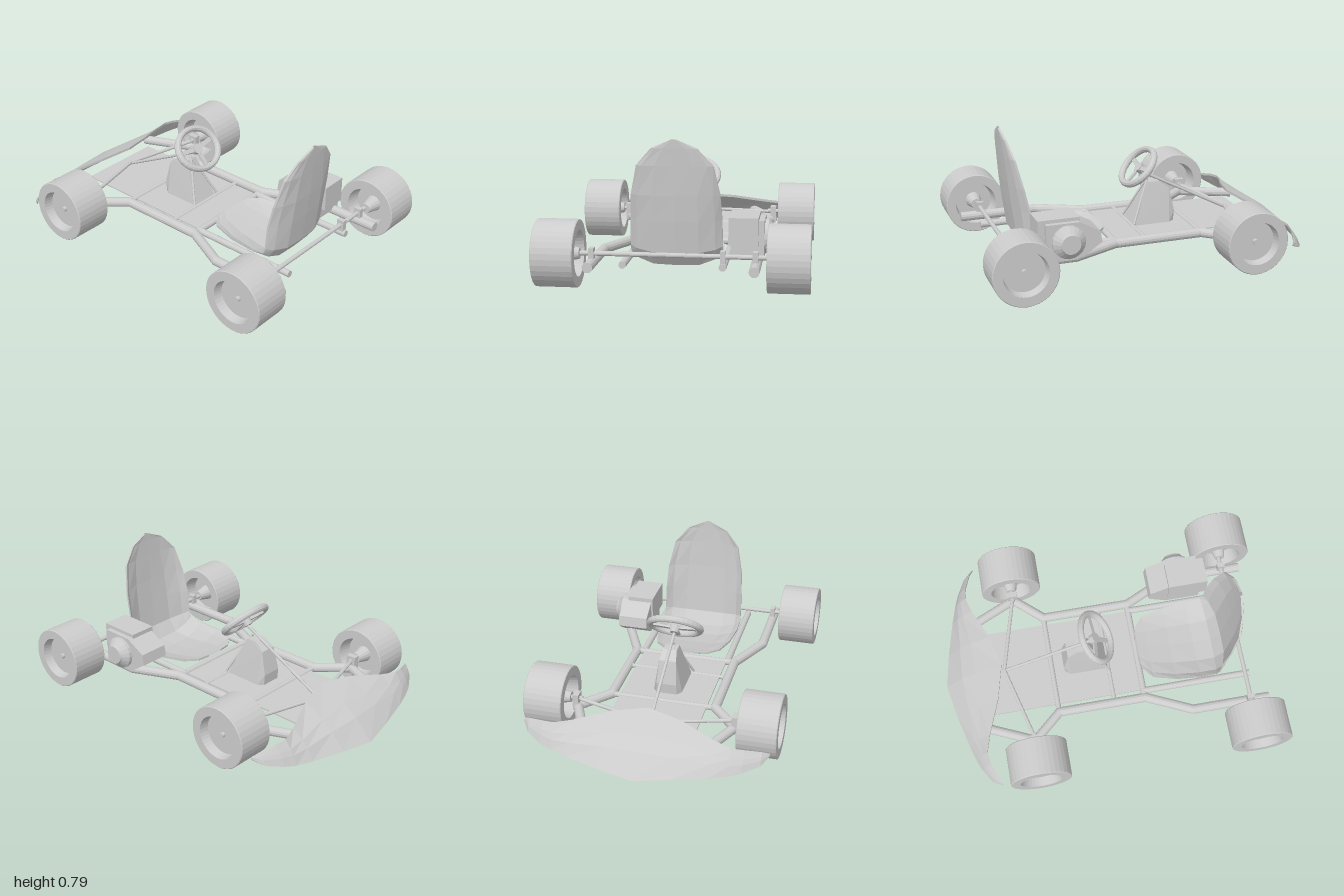
import * as THREE from 'three';
import { ConvexGeometry } from 'three/addons/geometries/ConvexGeometry.js';

const mat = new THREE.MeshStandardMaterial({ color: 0xcccccc, flatShading: true, side: THREE.DoubleSide });
const V = (x, y, z) => new THREE.Vector3(x, y, z);

export function createModel() {
  const kart = new THREE.Group();

  const add = (name, geo, x = 0, y = 0, z = 0, parent = kart) => {
    const m = new THREE.Mesh(geo, mat);
    m.name = name;
    m.position.set(x, y, z);
    parent.add(m);
    return m;
  };
  const box = (name, w, h, d, x, y, z, parent) => add(name, new THREE.BoxGeometry(w, h, d), x, y, z, parent);

  // Round bar between two points
  const bar = (name, a, b, r, parent = kart) => {
    const d = b.clone().sub(a);
    const c = a.clone().add(b).multiplyScalar(0.5);
    const m = add(name, new THREE.CylinderGeometry(r, r, d.length(), 14), c.x, c.y, c.z, parent);
    m.quaternion.setFromUnitVectors(V(0, 1, 0), d.normalize());
    return m;
  };

  // Bent pipe: bars with ball joints at the bends
  const pipe = (name, pts, r) => {
    const g = new THREE.Group();
    g.name = name;
    pts.slice(1).forEach((p, i) => {
      bar(name + 'Section', pts[i], p, r, g);
      if (i > 0) add(name + 'Bend', new THREE.SphereGeometry(r, 14, 8), ...pts[i].toArray(), g);
    });
    kart.add(g);
  };

  // Skin over equal-length cross-sections
  const loft = (sections, closed) => {
    const n = sections[0].length, idx = [];
    for (let i = 0; i < sections.length - 1; i++)
      for (let j = 0; j < (closed ? n : n - 1); j++) {
        const a = i * n + j, b = i * n + (j + 1) % n;
        idx.push(a, b, a + n, b, b + n, a + n);
      }
    const g = new THREE.BufferGeometry().setFromPoints(sections.flat());
    g.setIndex(idx);
    g.computeVertexNormals();
    return g;
  };

  // Wheels: tyre with a recessed rim on both sides, hub and cap
  const wheelProfile = [
    [0, -0.03], [0.11, -0.03], [0.125, -0.112], [0.178, -0.112], [0.182, -0.108],
    [0.182, 0.108], [0.178, 0.112], [0.125, 0.112], [0.115, 0.06], [0, 0.06],
  ].map(p => new THREE.Vector2(...p));
  for (const s of [-1, 1])
    for (const [name, z] of [['rearWheel', 0.818], ['frontWheel', -0.512]]) {
      const w = new THREE.Group();
      w.name = name;
      w.position.set(s * 0.612, 0.184, z);
      w.rotation.z = -s * Math.PI / 2;
      add('tyreAndRim', new THREE.LatheGeometry(wheelProfile, 36), 0, 0, 0, w);
      add('hub', new THREE.CylinderGeometry(0.05, 0.03, 0.09, 16), 0, -0.07, 0, w);
      add('hubCap', new THREE.CylinderGeometry(0.015, 0.015, 0.02, 12), 0, 0.07, 0, w);
      kart.add(w);
    }

  // Chassis rails, front axles and steering rods, mirrored
  const fy = 0.132;
  for (const s of [-1, 1]) {
    pipe('mainRail', [[0.435, 0.93], [0.435, 0.46], [0.31, 0.19], [0.31, -0.34], [0.46, -0.51], [0.32, -0.82]]
      .map(([x, z]) => V(s * x, fy, z)), 0.028);
    bar('innerRail', V(s * 0.265, fy, 0.18), V(s * 0.265, fy, 0.845), 0.02);
    box('rearBearing', 0.028, 0.1, 0.045, s * 0.435, 0.165, 0.81);
    box('frontBracket', 0.035, 0.1, 0.06, s * 0.465, 0.165, -0.512);
    bar('stubAxle', V(s * 0.43, 0.184, -0.512), V(s * 0.56, 0.184, -0.512), 0.013);
    bar('steeringRod', V(s * 0.44, 0.18, -0.515), V(0, 0.17, -0.63), 0.011);
    bar('columnStrut', V(0, 0.4, -0.12), V(s * 0.1, 0.15, 0), 0.007);
  }
  for (const [z, r] of [[0.185, 0.019], [0, 0.013], [-0.342, 0.016]])
    bar('crossTube', V(-0.31, fy, z), V(0.31, fy, z), r);
  box('innerBearing', 0.028, 0.1, 0.045, 0.265, 0.165, 0.81);
  bar('rearAxle', V(-0.58, 0.184, 0.81), V(0.58, 0.184, 0.81), 0.013);
  box('floorPan', 0.52, 0.008, 0.93, 0, fy, -0.27);

  // Nose fairing: thin curved sheet, each row is [x, frontZ, frontY, backZ, backY]
  const noseHalf = [
    [0, -1, 0.03, -0.64, 0.27], [0.2, -0.962, 0.045, -0.69, 0.25], [0.4, -0.912, 0.058, -0.772, 0.21],
    [0.5, -0.882, 0.066, -0.802, 0.195], [0.57, -0.855, 0.08, -0.79, 0.188],
    [0.66, -0.8, 0.105, -0.758, 0.17], [0.7, -0.742, 0.14, -0.734, 0.15],
  ];
  const nose = [...noseHalf.slice(1).reverse().map(([x, ...r]) => [-x, ...r]), ...noseHalf];
  add('noseFairing', loft(nose.map(([x, zf, yf, zb, yb]) => {
    const at = (t, up) => V(x, yf + (yb - yf) * t + up, zf + (zb - zf) * t);
    const k = Math.min(1, (zb - zf) / 0.36);
    return [at(0, 0), at(0.3, 0.035 * k + 0.005), at(0.55, 0.03 * k + 0.005), at(1, 0),
      at(1, -0.015), at(0.5, 0.01 * k - 0.01)];
  }), true));

  // Bucket seat: rows [y, z, halfWidth, edge lift, edge forward] from the pan lip to the top
  const seatRows = [
    [0.17, 0.19, 0.05, 0, 0], [0.165, 0.2, 0.13, 0.005, 0], [0.15, 0.26, 0.2, 0.02, 0],
    [0.12, 0.4, 0.235, 0.04, 0], [0.1, 0.55, 0.248, 0.06, 0], [0.105, 0.66, 0.25, 0.07, 0.02],
    [0.18, 0.715, 0.25, 0.03, 0.06], [0.35, 0.735, 0.248, 0, 0.07], [0.49, 0.75, 0.24, 0, 0.055],
    [0.65, 0.762, 0.205, 0, 0.03], [0.745, 0.768, 0.122, 0, 0.01], [0.793, 0.77, 0.01, 0, 0],
  ];
  const across = [-1, -0.85, -0.5, 0, 0.5, 0.85, 1];
  const seatLayer = (t, back) => seatRows.map(([y, z, w, up, fwd], i) => {
    const rise = Math.min(1, Math.max(0, (i - 4) / 3));
    return across.map(u => V(u * w, y + up * u * u * u * u - (back ? t * (1 - rise) : 0),
      z - fwd * u * u * u * u + (back ? t * rise : 0)));
  });
  const inner = seatLayer(0.012, false), outer = seatLayer(0.012, true);
  add('seat', loft(inner.map((row, i) => [...row, ...outer[i].reverse()]), true));

  // Tapered pedestal under the steering column
  add('steeringPedestal', new ConvexGeometry([-1, 1].flatMap(s => [
    V(s * 0.085, 0.136, 0), V(s * 0.085, 0.136, -0.23), V(s * 0.06, 0.136, -0.265), V(s * 0.06, 0.2, -0.27),
    V(s * 0.05, 0.34, -0.24), V(s * 0.04, 0.385, -0.18), V(s * 0.04, 0.385, -0.115)])));
  bar('steeringColumn', V(0, 0.45, -0.07), V(0, 0.16, -0.63), 0.009);

  // Steering wheel with flattened rim and three spokes
  const wheel = new THREE.Group();
  wheel.name = 'steeringWheel';
  wheel.position.set(0, 0.475, -0.06);
  wheel.rotation.x = -0.75;
  const rim = add('steeringRim', new THREE.TorusGeometry(0.15, 0.021, 10, 32), 0, 0, 0, wheel);
  rim.scale.y = 0.84;
  for (const a of [0.15, Math.PI - 0.15, -Math.PI / 2]) {
    const r = 0.065;
    const spoke = box('spoke', 0.13, 0.026, 0.012, Math.cos(a) * r, Math.sin(a) * r, -0.012, wheel);
    spoke.rotation.z = a;
  }
  const boss = add('steeringBoss', new THREE.CylinderGeometry(0.032, 0.025, 0.04, 12), 0, 0, -0.02, wheel);
  boss.rotation.x = Math.PI / 2;
  kart.add(wheel);

  // Engine: block with side profile, top box, and round starter cover
  const side = new THREE.Shape([[0.64, 0.14], [0.64, 0.345], [0.45, 0.345], [0.33, 0.28], [0.32, 0.215], [0.43, 0.14]]
    .map(([z, y]) => new THREE.Vector2(-z, y)));
  const block = add('engineBlock', new THREE.ExtrudeGeometry(side, { depth: 0.18, bevelEnabled: false }), 0.29);
  block.rotation.y = Math.PI / 2;
  box('engineTopBox', 0.16, 0.15, 0.24, 0.36, 0.29, 0.56);
  const cover = add('starterCover', new THREE.LatheGeometry(
    [[0.095, 0], [0.095, 0.025], [0.06, 0.055], [0.055, 0.065], [0, 0.065]].map(p => new THREE.Vector2(...p)), 20),
  0.465, 0.24, 0.515);
  cover.rotation.z = -Math.PI / 2;

  return kart;
}
